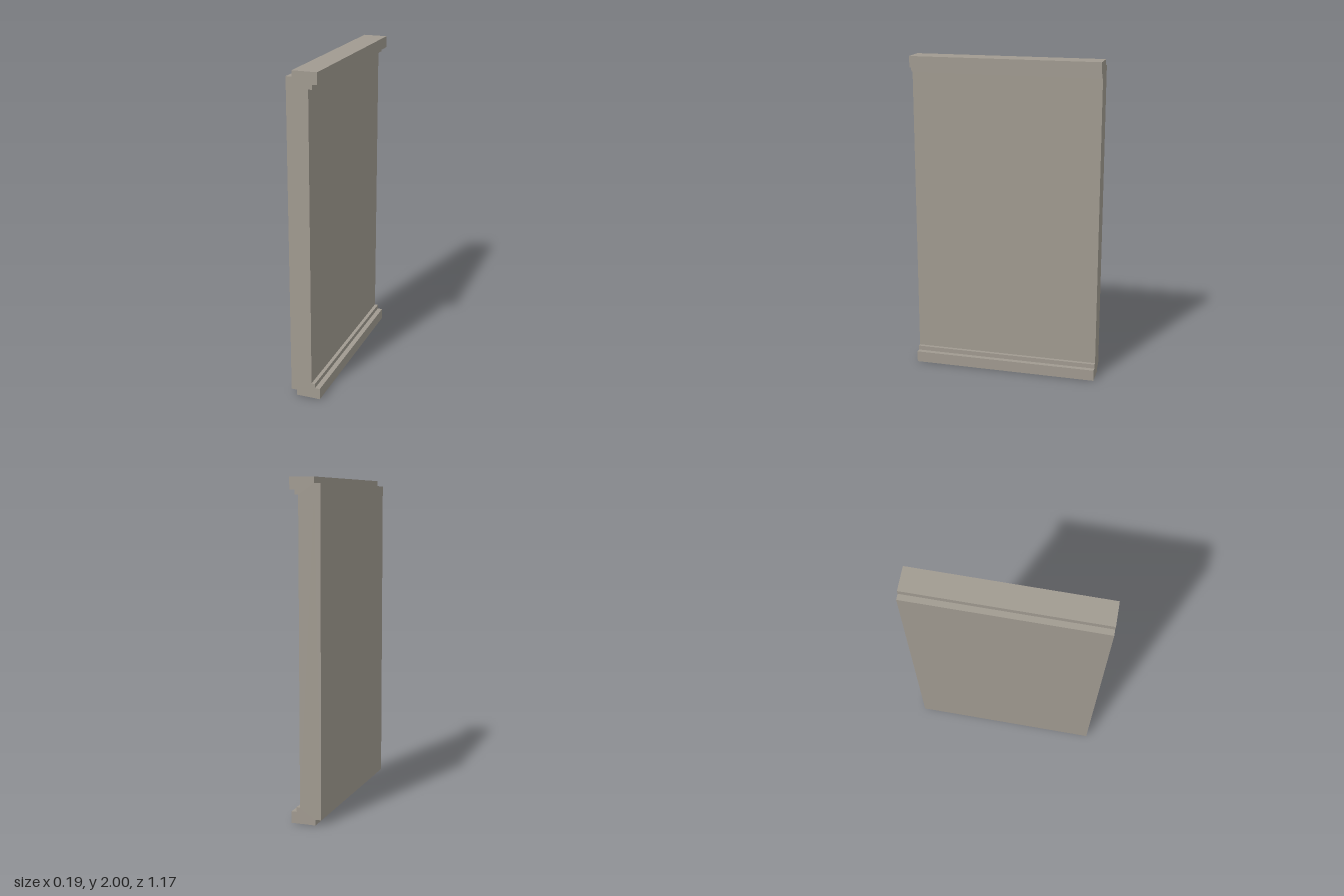
import * as THREE from 'three';

const HEIGHT = 2, DEPTH = 1.17;

export function createModel() {
  const model = new THREE.Group();
  const stone = new THREE.MeshStandardMaterial({ color: 0xa09a90 });

  // Lower half of the moulded cross-section, from the back face round to the recessed face
  const lower = [
    [-0.094, 0.035], [-0.058, 0.035], [-0.058, 0],
    [0.091, 0], [0.091, 0.07], [0.06, 0.07], [0.06, 0.098], [0.038, 0.098],
  ];
  // Upper half mirrors it
  const upper = lower.map(([x, y]) => [x, HEIGHT - y]).reverse();
  const profile = new THREE.Shape([...lower, ...upper].map(([x, y]) => new THREE.Vector2(x, y)));

  // Panel with stepped rails, run along z
  const geometry = new THREE.ExtrudeGeometry(profile, { depth: DEPTH, bevelEnabled: false });
  geometry.translate(0, 0, -DEPTH / 2);
  const panel = new THREE.Mesh(geometry, stone);
  panel.name = 'mouldedPanel';
  model.add(panel);

  return model;
}
